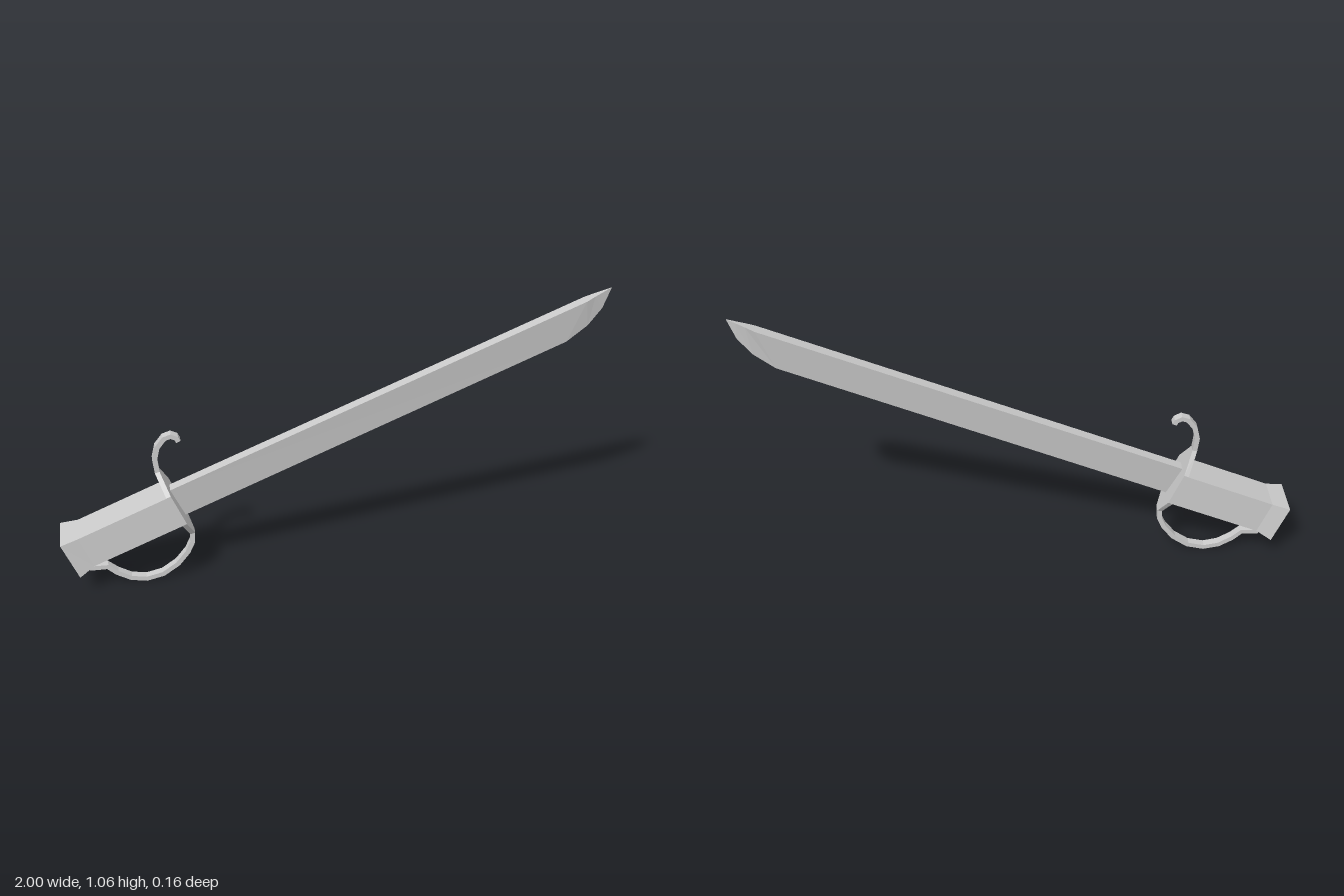
import * as THREE from 'three';

const material = new THREE.MeshStandardMaterial({ color: 0xcccccc, flatShading: true });

// Joins rings of [x, y, z] corners into a closed, faceted solid.
function loft(name, rings) {
  const pos = [];
  const n = rings[0].length;
  const tri = (a, b, c) => pos.push(...a, ...b, ...c);
  for (let s = 0; s < rings.length - 1; s++) {
    const a = rings[s], b = rings[s + 1];
    for (let i = 0; i < n; i++) {
      const j = (i + 1) % n;
      tri(a[i], a[j], b[j]);
      tri(a[i], b[j], b[i]);
    }
  }
  const first = rings[0], last = rings[rings.length - 1];
  for (let i = 1; i < n - 1; i++) {
    tri(first[0], first[i + 1], first[i]);
    tri(last[0], last[i], last[i + 1]);
  }
  const geometry = new THREE.BufferGeometry();
  geometry.setAttribute('position', new THREE.Float32BufferAttribute(pos, 3));
  geometry.computeVertexNormals();
  const mesh = new THREE.Mesh(geometry, material);
  mesh.name = name;
  return mesh;
}

// Rectangular ring between a lower and an upper point, h wide to each side.
const rect = (xl, yl, xu, yu, h) => [[xl, yl, -h], [xu, yu, -h], [xu, yu, h], [xl, yl, h]];

// Wedge ring: flat spine of half width h above a sharp edge.
const wedge = (xs, ys, xe, ye, h) => [[xs, ys, -h], [xs, ys, h], [xe, ye, 0]];

// Flat strip along a path of [x, y, half width in z].
function strip(name, path, t) {
  return loft(name, path.map(([x, y, h], i) => {
    const p = path[Math.max(i - 1, 0)], q = path[Math.min(i + 1, path.length - 1)];
    const d = new THREE.Vector2(q[0] - p[0], q[1] - p[1]).normalize().multiplyScalar(t);
    return rect(x + d.y, y - d.x, x - d.y, y + d.x, h);
  }));
}

export function createModel() {
  const sword = new THREE.Group();
  sword.name = 'sword';

  // Single-edged blade, the edge sweeping up to the tip
  sword.add(loft('blade', [
    wedge(-0.598, 0.386, -0.547, 0.265, 0.021),
    wedge(0.905, 1.022, 0.848, 0.861, 0.021),
    wedge(0.936, 1.036, 0.922, 0.92, 0.014),
    wedge(0.967, 1.049, 0.97, 0.984, 0.007),
    wedge(0.998, 1.062, 0.998, 1.06, 0.0004),
  ]));

  // Grip with a flared pommel end
  sword.add(loft('grip', [
    rect(-0.94, 0.085, -1, 0.226, 0.08),
    rect(-0.885, 0.121, -0.935, 0.242, 0.066),
    rect(-0.55, 0.264, -0.602, 0.385, 0.066),
  ]));

  // Guard: upper hook, hexagonal plate and knuckle bow in one strip
  const w = 0.015;
  sword.add(strip('guard', [
    [-0.556, 0.58, w], [-0.562, 0.594, w], [-0.582, 0.604, w], [-0.606, 0.596, w],
    [-0.632, 0.562, w], [-0.643, 0.515, w], [-0.637, 0.462, w],
    [-0.604, 0.385, 0.066], [-0.552, 0.264, 0.066],
    [-0.522, 0.192, w], [-0.524, 0.155, w], [-0.543, 0.113, w], [-0.582, 0.064, w],
    [-0.638, 0.025, w], [-0.7, 0.01, w], [-0.757, 0.02, w], [-0.807, 0.048, w],
    [-0.84, 0.077, w], [-0.905, 0.077, w],
  ], 0.009));

  return sword;
}
